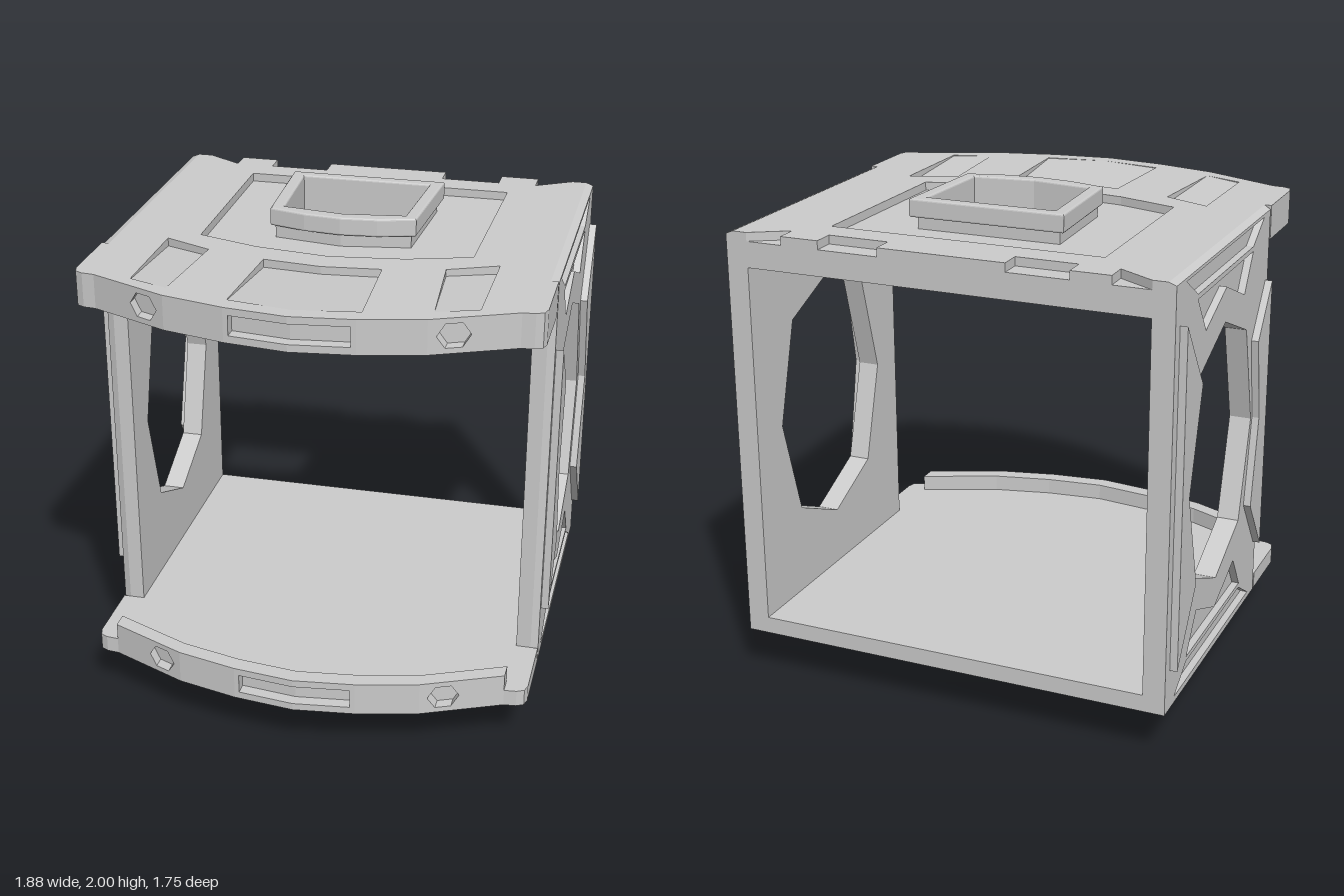
import * as THREE from 'three';

const material = new THREE.MeshStandardMaterial({ color: 0xcccccc });

// Counter-clockwise path from corner pairs
function ccw(points) {
  const v = points.map(([a, b]) => new THREE.Vector2(a, b));
  return THREE.ShapeUtils.isClockWise(v) ? v.reverse() : v;
}

function extrude(points, holes, depth, bevel = 0) {
  const shape = new THREE.Shape(ccw(points));
  holes.forEach((h) => shape.holes.push(new THREE.Path(ccw(h))));
  const geo = new THREE.ExtrudeGeometry(shape, {
    depth: depth - 2 * bevel, bevelEnabled: bevel > 0, bevelSize: bevel,
    bevelThickness: bevel, bevelOffset: -bevel, bevelSegments: 3,
  });
  return geo.translate(0, 0, bevel);
}

// Horizontal plate: corners are [x, z]
function plate(points, holes, y0, y1, bevel) {
  return extrude(points, holes, y1 - y0, bevel).rotateX(Math.PI / 2).translate(0, y1, 0);
}

// Upright side plate: corners are [z, y], x range mirrored by side
function upright(points, holes, x0, x1, side) {
  return extrude(points, holes, x1 - x0)
    .rotateY(-Math.PI / 2).translate(side > 0 ? x1 : -x0, 0, 0);
}

// Move every vertex by a rule
function reshape(geo, rule) {
  const p = geo.attributes.position;
  const v = new THREE.Vector3();
  for (let i = 0; i < p.count; i++) {
    rule(v.fromBufferAttribute(p, i));
    p.setXYZ(i, v.x, v.y, v.z);
  }
  geo.computeVertexNormals();
  return geo;
}

// Scale one rim of a plate towards its middle
const taper = (geo, y, k, cz) => reshape(geo, (v) => {
  if (Math.abs(v.y - y) < 0.001) {
    v.x *= k;
    v.z = cz + (v.z - cz) * k;
  }
});

// Sloping slot bottom: deep at the inner end, flush at the front
const ramp = (slot, deepY, flushY) => {
  const zs = slot.map((c) => c[1]);
  const z0 = Math.min(...zs), z1 = Math.max(...zs);
  return reshape(plate(slot, [], Math.min(deepY, flushY), Math.max(deepY, flushY)), (v) => {
    if (Math.abs(v.y - flushY) < 0.001) {
      v.y = deepY + (flushY - deepY) * (0.05 + 0.95 * (v.z - z0) / (z1 - z0));
    }
  });
};

const flip = (pts) => pts.map(([x, z]) => [-x, z]);
// Full outline from its +x half
const both = (half) => [...half, ...flip(half).reverse()];

// Front curve, from the middle outwards
const front = [[0, 0.875], [0.25, 0.845], [0.5, 0.785], [0.82, 0.645]];
const LIP = 0.05;
const edge = [
  [0.82, 0.31], [0.91, 0.31], [0.91, 0.59], [0.9, 0.625], [0.87, 0.64], [0.82, 0.645],
  ...front.slice().reverse().map(([x, z]) => [x, z - LIP]),
];
const plainOutline = both([[0.82, -0.88], ...edge]);
const notchedOutline = both([
  [0.26, -0.88], [0.26, -0.79], [0.51, -0.79], [0.51, -0.88],
  [0.67, -0.88], [0.67, -0.79], [0.82, -0.88], ...edge,
]);

// Sunken panel and front slots shared by roof and floor
const panel = both([[0.565, -0.67], [0.555, 0.13], [0.3, 0.21], [0, 0.25]]);
const midSlot = both([[0, 0.365], [0.235, 0.34], [0.255, 0.77], [0, 0.81]]);
const sideSlot = [[0.67, 0.2], [0.475, 0.285], [0.51, 0.71], [0.67, 0.65]];
const slots = [midSlot, sideSlot, flip(sideSlot)];

// Roof collar and the opening through it
const collar = both([[0.325, -0.48], [0.3, 0], [0.15, 0.04], [0, 0.055]]);
const neck = both([[0.3, -0.455], [0.28, -0.005], [0, 0.04]]);
const opening = both([[0.27, -0.43], [0.25, -0.035], [0, 0]]);

// Side wall window, sunken panels and raised panels
const windowHole = [[0.02, 1.47], [-0.275, 1.59], [-0.57, 1.47], [-0.69, 1.05],
  [-0.57, 0.64], [-0.275, 0.51], [0.02, 0.64], [0.14, 1.05]];
const wallOutline = [[0.31, 0.2], [0.31, 1.91], [-0.88, 1.91], [-0.88, 0.2]];
const upperPanels = [
  [[0.07, 1.78], [-0.63, 1.78], [-0.52, 1.63], [-0.275, 1.73], [-0.03, 1.63]],
  [[0.21, 1.885], [-0.77, 1.885], [-0.63, 1.8], [0.07, 1.8]],
];
const lowerPanels = upperPanels.map((p) => p.map(([z, y]) => [z, 2.11 - y]));
const raisedPanels = [
  [[0.265, 1.61], [0.265, 0.44], [0.09, 0.68], [0.16, 1.05], [0.1, 1.4]],
  [[-0.83, 1.74], [-0.83, 0.37], [-0.63, 0.65], [-0.75, 1.05], [-0.63, 1.46]],
];

// One straight stretch of the front lip, sheared to follow the curve
function lipPiece(i, side, outline, holes, depth, back) {
  const [[xa, za], [xb, zb]] = [front[i], front[i + 1]];
  const sx = ([x, y]) => [x * side, y];
  const geo = extrude(outline.map(sx), holes.map((h) => h.map(sx)), depth);
  geo.translate(0, 0, -depth - back);
  return reshape(geo, (v) => {
    v.z += za + (zb - za) * (Math.abs(v.x) - xa) / (xb - xa);
  });
}

export function createModel() {
  const model = new THREE.Group();
  model.name = 'openFrameCabin';
  const add = (parent, name, geo) => {
    const mesh = new THREE.Mesh(geo, material);
    mesh.name = name;
    parent.add(mesh);
  };
  const group = (name) => {
    const g = new THREE.Group();
    g.name = name;
    model.add(g);
    return g;
  };

  // Front lip with a middle pocket and two six-sided pits
  const addLip = (parent, y0, backing) => {
    const y1 = y0 + 0.14;
    const hex = Array.from({ length: 6 }, (_, k) => [
      0.59 + 0.06 * Math.cos(k * Math.PI / 3), y0 + 0.07 + 0.055 * Math.sin(k * Math.PI / 3)]);
    for (const side of [1, -1]) {
      for (let i = 0; i < 3; i++) {
        const a = front[i][0], b = front[i + 1][0];
        const box = [[a, y0], [b, y0], [b, y1], [a, y1]];
        const pocket = [[0, y0], [b, y0], [b, y1], [0, y1],
          [0, y1 - 0.03], [0.23, y1 - 0.03], [0.23, y0 + 0.03], [0, y0 + 0.03]];
        add(parent, 'frontLip', lipPiece(i, side, i === 0 ? pocket : box, i === 2 ? [hex] : [], LIP, 0));
        if (backing) {
          const rear = [[a, y0 + 0.05], [b, y0 + 0.05], [b, y1], [a, y1]];
          add(parent, 'frontLipBacking', lipPiece(i, side, rear, [], 0.02, LIP));
        }
      }
    }
  };

  // Roof
  const roof = group('roof');
  add(roof, 'roofPlate', plate(plainOutline, [opening], 1.77, 1.875));
  add(roof, 'roofSurface', plate(notchedOutline, [panel, ...slots], 1.875, 1.91));
  slots.forEach((s) => add(roof, 'roofSlotRamp', ramp(s, 1.875, 1.91)));
  add(roof, 'collarNeck', plate(neck, [opening], 1.875, 1.935));
  add(roof, 'collar', plate(collar, [opening], 1.925, 2.0, 0.008));
  addLip(roof, 1.77, false);

  // Floor
  const floor = group('floor');
  add(floor, 'floorPlate', plate(plainOutline, [], 0.235, 0.27));
  add(floor, 'floorUnderside', plate(plainOutline, [panel, ...slots], 0.2, 0.235));
  slots.forEach((s) => add(floor, 'floorSlotRamp', ramp(s, 0.235, 0.2)));
  addLip(floor, 0.2, true);

  // Plug under the floor
  const plug = group('bottomPlug');
  const plugOutline = both([[0.325, -0.4], [0.31, 0.24], [0.16, 0.285], [0, 0.3]]);
  const plugLower = both([[0.32, -0.385], [0.3, 0.22], [0.16, 0.265], [0, 0.28]]);
  add(plug, 'plugBand', plate(plugOutline, [], 0.12, 0.24));
  add(plug, 'plugShoulder', taper(plate(plugLower, [], 0.09, 0.125), 0.125, 0.91, -0.05));
  add(plug, 'plugFoot', taper(plate(plugLower, [], 0, 0.09), 0, 0.78, -0.05));

  // Side walls, with the outer front and top edges eased
  for (const side of [1, -1]) {
    const wall = group(side > 0 ? 'leftWall' : 'rightWall');
    add(wall, 'wallCore', upright(wallOutline, [windowHole], 0.82, 0.88, side));
    const face = upright(wallOutline, [windowHole, ...upperPanels, ...lowerPanels], 0.88, 0.91, side);
    add(wall, 'wallFace', reshape(face, (v) => {
      if (Math.abs(v.x) > 0.9) {
        v.z = Math.min(v.z, 0.295);
        v.y = Math.min(v.y, 1.898);
      }
    }));
    raisedPanels.forEach((p) => add(wall, 'raisedPanel', upright(p, [], 0.9, 0.94, side)));
  }
  return model;
}
